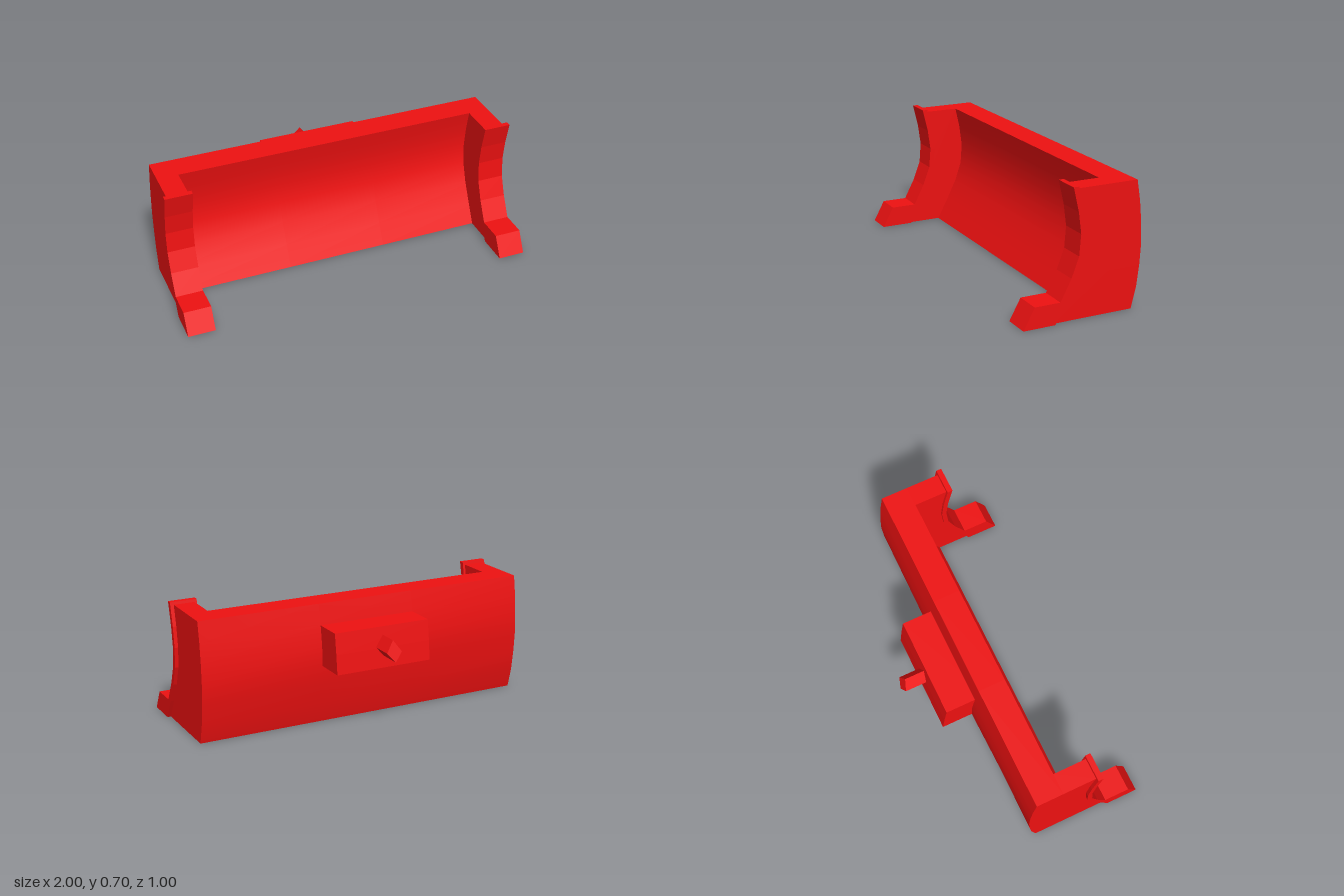
import * as THREE from 'three';
import { toCreasedNormals } from 'three/addons/utils/BufferGeometryUtils.js';

const red = new THREE.MeshStandardMaterial({ color: 0xee1111 });

// Heights shared by all curved profiles, with the z of each curve at those heights
const ys = [0, 0.115, 0.23, 0.34, 0.455, 0.57, 0.685];
const frontZ = [0.32, 0.258, 0.2, 0.162, 0.153, 0.167, 0.192];
const backZ = [-0.13, -0.16, -0.175, -0.183, -0.18, -0.17, -0.152];
const curve = (zs, offset = 0) => zs.map((z, i) => [z + offset, ys[i]]);

// Extrude a closed [z, y] outline along x from x0 to x1
function extrudeX(points, x0, x1, steps = 1) {
  const shape = new THREE.Shape(points.map(([z, y]) => new THREE.Vector2(z, y)));
  const geo = new THREE.ExtrudeGeometry(shape, { depth: x1 - x0, steps, bevelEnabled: false });
  return geo.rotateY(-Math.PI / 2).translate(x1, 0, 0);
}

function addPart(group, name, geo, crease = 0) {
  const mesh = new THREE.Mesh(crease ? toCreasedNormals(geo, crease) : geo, red);
  mesh.name = name;
  group.add(mesh);
}

export function createModel() {
  const model = new THREE.Group();
  model.name = 'bladeAttachment';
  const inner = curve(frontZ, -0.19);

  // Concave wall, its back swelling slightly towards the middle
  const wall = extrudeX([...inner, ...curve(backZ).reverse()], -0.98, 0.98, 3);
  const p = wall.attributes.position;
  for (let i = 0; i < p.count; i++) {
    if (Math.abs(p.getX(i)) > 0.5) continue;
    const y = p.getY(i);
    p.setX(i, Math.sign(p.getX(i)) * 0.285);
    if (p.getZ(i) < -0.1 && y > 0.25 && y < 0.6) {
      p.setZ(i, p.getZ(i) - (y > 0.5 ? 0.005 : 0.012));
    }
  }
  wall.computeVertexNormals();
  addPart(model, 'bladeWall', wall, 0.5);

  // End plates and the trims with a toe along their front edges
  const plate = [...curve(frontZ), ...inner.slice().reverse()];
  const trim = [
    [0.5, 0], [0.437, 0.115], [0.293, 0.115], [0.232, 0.23], [0.19, 0.34],
    [0.18, 0.455], [0.195, 0.57], [0.225, 0.7], [0.195, 0.7],
    ...curve(frontZ).reverse(),
  ];
  for (const [side, s] of [['left', 1], ['right', -1]]) {
    const span = (a, b) => (s > 0 ? [a, b] : [-b, -a]);
    addPart(model, side + 'EndPlate', extrudeX(plate, ...span(0.862, 0.98)), 0.5);
    addPart(model, side + 'EdgeTrim', extrudeX(trim, ...span(0.848, 1)));
  }

  // Mounting block on the back
  const block = [
    [-0.1, 0.345], [-0.372, 0.345], [-0.36, 0.455], [-0.344, 0.57], [-0.1, 0.57],
  ];
  addPart(model, 'mountingBlock', extrudeX(block, -0.285, 0.285));

  // Diamond-section hitch pin with a sloping end
  const diamond = new THREE.Shape([[0, 0.41], [0.045, 0.462], [0, 0.525], [-0.045, 0.462]]
    .map(([x, y]) => new THREE.Vector2(x, y)));
  const pin = new THREE.ExtrudeGeometry(diamond, { depth: 0.2, bevelEnabled: false });
  pin.translate(0, 0, -0.5);
  const q = pin.attributes.position;
  for (let i = 0; i < q.count; i++) {
    if (q.getZ(i) < -0.4) q.setZ(i, -0.497 + (q.getY(i) - 0.41) * 0.3);
  }
  pin.computeVertexNormals();
  addPart(model, 'hitchPin', pin);

  return model;
}
